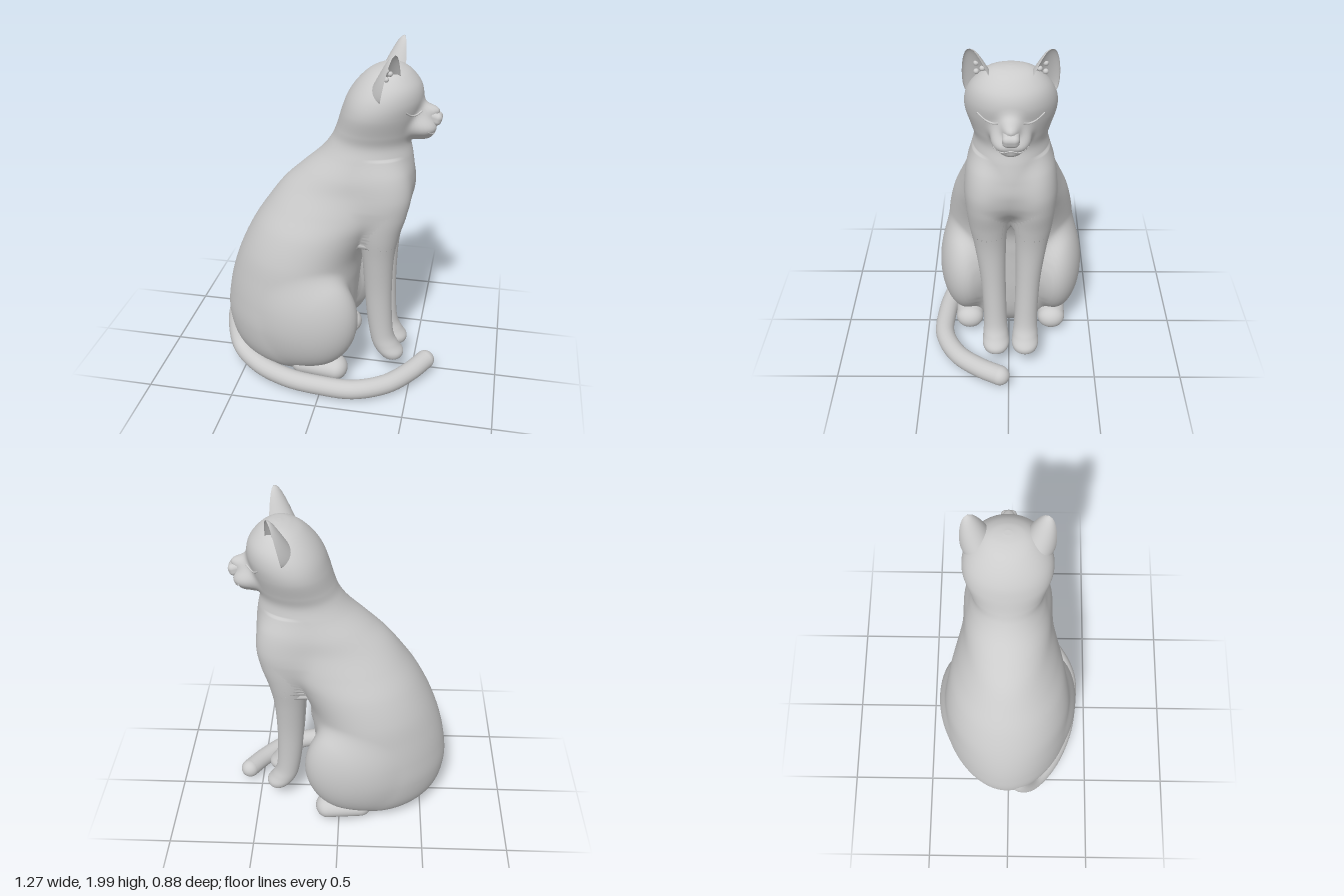
import * as THREE from 'three';
import { RoundedBoxGeometry } from 'three/addons/geometries/RoundedBoxGeometry.js';

const mat = new THREE.MeshStandardMaterial({ color: 0xcccccc, side: THREE.DoubleSide });

// Torso, neck and skull sections: [y, back x, front x, centre z, half width, egg skew]
const TORSO = [
  [0.005, -0.32, -0.1, 0, 0.07, 0],
  [0.025, -0.42, 0.0, 0, 0.18, 0.1],
  [0.1, -0.545, 0.07, 0, 0.29, 0.15],
  [0.2, -0.61, 0.11, 0, 0.35, 0.17],
  [0.35, -0.635, 0.135, 0, 0.38, 0.17],
  [0.5, -0.62, 0.15, 0, 0.383, 0.15],
  [0.65, -0.585, 0.165, 0, 0.373, 0.11],
  [0.8, -0.53, 0.19, 0, 0.36, 0.06],
  [0.95, -0.455, 0.28, 0, 0.33, 0],
  [1.08, -0.37, 0.41, 0, 0.285, -0.06],
  [1.2, -0.28, 0.458, 0, 0.248, -0.02],
  [1.3, -0.175, 0.46, 0, 0.232, 0],
  [1.4, -0.065, 0.447, 0, 0.208, -0.01],
  [1.48, -0.005, 0.433, 0, 0.193, -0.03],
  [1.55, 0.025, 0.448, 0, 0.208, -0.06],
  [1.65, 0.055, 0.475, 0, 0.234, -0.1],
  [1.73, 0.085, 0.49, 0, 0.23, -0.09],
  [1.8, 0.13, 0.474, 0, 0.2, -0.04],
  [1.86, 0.19, 0.425, 0, 0.145, 0],
  [1.89, 0.25, 0.375, 0, 0.09, 0],
  [1.9, 0.3, 0.33, 0, 0.02, 0],
];

// Front leg sections from paw to shoulder, same layout
const LEG = [
  [0.112, 0.36, 0.41, 0.085, 0.03, 0],
  [0.125, 0.325, 0.44, 0.085, 0.062, 0],
  [0.16, 0.29, 0.447, 0.085, 0.077, 0],
  [0.21, 0.262, 0.415, 0.086, 0.073, 0],
  [0.28, 0.245, 0.385, 0.088, 0.067, 0],
  [0.42, 0.225, 0.372, 0.092, 0.067, 0],
  [0.6, 0.21, 0.368, 0.1, 0.072, 0],
  [0.8, 0.195, 0.376, 0.113, 0.087, 0],
  [0.95, 0.175, 0.402, 0.122, 0.105, 0],
  [1.08, 0.15, 0.438, 0.127, 0.114, 0],
  [1.2, 0.14, 0.452, 0.128, 0.114, 0],
  [1.32, 0.16, 0.42, 0.122, 0.095, 0],
  [1.42, 0.21, 0.34, 0.11, 0.05, 0],
];
const SHOULDER_BASE = 0.88;

// Mirrored swellings melted into the torso: centre, radii, blend
const SWELLINGS = [
  { c: [-0.08, 0.445, 0.262], r: [0.277, 0.325, 0.162], k: 0.04 }, // haunch
  { c: [0.497, 1.655, 0], r: [0.082, 0.036, 0.042], k: 0.06 }, // nose bridge
  { c: [0.47, 1.58, 0], r: [0.09, 0.07, 0.1], k: 0.05 }, // muzzle
  { c: [0.505, 1.568, 0.034], r: [0.058, 0.034, 0.048], k: 0.03 }, // whisker pad
  { c: [0.485, 1.527, 0], r: [0.064, 0.03, 0.055], k: 0.025 }, // chin
];

// Smooth interpolation through a list of section rows
function sampleRows(rows, t) {
  const f = t * (rows.length - 1), i = Math.min(Math.floor(f), rows.length - 2), u = f - i;
  const row = k => rows[Math.max(0, Math.min(rows.length - 1, k))];
  return rows[0].map((_, c) => {
    const [a, b, d, e] = [row(i - 1)[c], row(i)[c], row(i + 1)[c], row(i + 2)[c]];
    return b + 0.5 * u * (d - a + u * (2 * a - 5 * b + 4 * d - e + u * (3 * (b - d) + e - a)));
  });
}

// Section at a given height
function rowAt(rows, y) {
  let lo = 0, up = 1;
  for (let i = 0; i < 24; i++) {
    const m = (lo + up) / 2;
    if (sampleRows(rows, m)[0] > y) up = m; else lo = m;
  }
  return sampleRows(rows, lo);
}

// Approximate signed distance to an ellipse or ellipsoid
function roundDistance(v, r) {
  const k0 = Math.hypot(...v.map((q, i) => q / r[i]));
  const k1 = Math.hypot(...v.map((q, i) => q / (r[i] * r[i])));
  return (k0 * (k0 - 1)) / (k1 + 1e-6);
}

function sectionDistance([, x0, x1, zc, w, k], x, z) {
  const a = (x1 - x0) / 2, dx = x - (x0 + x1) / 2;
  const egg = 1 + k * Math.max(-1, Math.min(1, dx / a));
  return roundDistance([dx, (z - zc) / egg], [a, w]);
}

function smoothMin(a, b, k) {
  const h = Math.max(k - Math.abs(a - b), 0) / k;
  return Math.min(a, b) - (h * h * k) / 4;
}

// Signed distance field of the blended body within one torso section
function bodyField(row) {
  const y = row[0];
  const leg = y > SHOULDER_BASE && y < 1.42 ? rowAt(LEG, y) : null;
  const legBlend = 0.002 + 0.07 * Math.min(1, Math.max(0, (y - SHOULDER_BASE) / 0.25));
  return (x, z) => {
    let d = sectionDistance(row, x, z);
    if (leg) d = smoothMin(d, sectionDistance(leg, x, Math.abs(z)), legBlend);
    for (const s of SWELLINGS)
      d = smoothMin(d, roundDistance([x - s.c[0], y - s.c[1], Math.abs(z) - s.c[2]], s.r), s.k);
    return d;
  };
}

// Outermost zero of f between hi and 0
function outermost(f, hi) {
  let s = hi;
  while (s > 0.05 && f(s) > 0) s -= 0.04;
  let lo = s, up = s + 0.04;
  for (let i = 0; i < 12; i++) {
    const m = (lo + up) / 2;
    if (f(m) > 0) up = m; else lo = m;
  }
  return lo;
}

// Point on the face surface at a given height and side
function onFace(y, z) {
  const field = bodyField(rowAt(TORSO, y));
  return [outermost(x => field(x, z), 0.7), y, z];
}

// Closed skin: ring(t) returns a function from angle to point
function skin(ring, levels, sides) {
  const pos = [], idx = [];
  for (let i = 0; i <= levels; i++) {
    const point = ring(i / levels);
    for (let j = 0; j < sides; j++) pos.push(...point((j / sides) * Math.PI * 2));
  }
  for (let i = 0; i < levels; i++)
    for (let j = 0; j < sides; j++) {
      const k = (j + 1) % sides, a = i * sides + j, b = i * sides + k;
      idx.push(a, b, a + sides, b, b + sides, a + sides);
    }
  const last = levels * sides;
  for (let j = 1; j < sides - 1; j++) idx.push(0, j + 1, j, last, last + j, last + j + 1);
  const g = new THREE.BufferGeometry();
  g.setAttribute('position', new THREE.Float32BufferAttribute(pos, 3));
  g.setIndex(idx);
  g.computeVertexNormals();
  return g;
}

function add(parent, name, geo) {
  const m = new THREE.Mesh(geo, mat);
  m.name = name;
  parent.add(m);
  return m;
}

function ball(parent, name, p, r) {
  add(parent, name, new THREE.SphereGeometry(r, 24, 16)).position.set(...p);
}

function tube(parent, name, pts, r, n) {
  const curve = new THREE.CatmullRomCurve3(pts.map(p => new THREE.Vector3(...p)));
  add(parent, name, new THREE.TubeGeometry(curve, n, r, 20));
}

export function createModel() {
  const cat = new THREE.Group();
  cat.name = 'sittingCat';
  const body = new THREE.Group();
  body.name = 'bodyAndLimbs';
  body.position.z = -0.01;
  cat.add(body);

  // Torso, haunches, shoulders, neck and face in one skin
  add(body, 'torsoAndHead', skin(t => {
    const row = sampleRows(TORSO, t), [y, x0, x1, , w] = row;
    const field = bodyField(row), cx = (x0 + x1) / 2;
    return a => {
      const dx = ((x1 - x0) / 2) * Math.cos(a), dz = -w * Math.sin(a);
      const s = outermost(q => field(cx + q * dx, q * dz), 2);
      return [cx + s * dx, y, s * dz];
    };
  }, 240, 120));

  // Nose tip and mouth
  const nose = add(body, 'noseTip', new RoundedBoxGeometry(0.085, 0.068, 0.086, 5, 0.026));
  nose.position.set(0.55, 1.618, 0);
  nose.rotation.z = -0.3;
  tube(body, 'mouthLine', [-0.085, -0.045, 0, 0.045, 0.085].map((z, i) =>
    onFace([1.56, 1.543, 1.552][Math.min(i, 4 - i)], z)), 0.005, 32);

  for (const s of [1, -1]) {
    const sideName = n => (s > 0 ? 'left' : 'right') + n;

    // Closed eyelid
    tube(body, sideName('Eyelid'), [[1.668, 0.06], [1.655, 0.085], [1.66, 0.12], [1.69, 0.165]]
      .map(([y, z]) => onFace(y, s * z)), 0.005, 24);

    // Ear: tapering shell, convex behind and hollow in front
    add(body, sideName('Ear'), skin(t => a => {
      const w = 0.1 * Math.sqrt(1 - t) + 0.002, e = w * Math.cos(a), q = Math.sin(a);
      const d = w * (q > 0 ? (1.35 - 0.5 * t) * q : -0.6 * q);
      return [0.332 + 0.022 * t - 0.45 * e - 0.89 * d, 1.745 + 0.253 * t,
        s * (0.125 + 0.072 * Math.sqrt(t) + 0.89 * e - 0.45 * d)];
    }, 36, 44));
    // Small tufts in the ear hollow
    for (let i = 0; i < 4; i++)
      ball(body, sideName('EarTuft'), [0.325 - (i % 2) * 0.015, 1.84 + i * 0.022,
        s * (0.14 + (i % 2) * 0.03)], 0.014);

    // Front leg with pointed paw, running up into the shoulder
    add(body, sideName('FrontLeg'), skin(t => {
      const [y, x0, x1, z, w] = sampleRows(LEG, t);
      return a => [(x0 + x1) / 2 + ((x1 - x0) / 2) * Math.cos(a), y, s * z - w * Math.sin(a)];
    }, 80, 40));

    // Hind foot
    const foot = add(body, sideName('HindFoot'), new THREE.CapsuleGeometry(0.07, 0.2, 12, 28));
    foot.position.set(-0.03, 0.112, s * 0.25);
    foot.rotation.z = Math.PI / 2 - 0.1;
    foot.scale.z = 1.18;
  }

  // Tail wrapping forward along the ground, with a rounded tip
  const tip = [0.578, 0.092, 0.05];
  tube(cat, 'tail', [[-0.54, 0.42, 0.03], [-0.577, 0.27, 0.07], [-0.535, 0.125, 0.15],
    [-0.4, 0.078, 0.26], [-0.2, 0.066, 0.35], [0, 0.066, 0.385], [0.2, 0.066, 0.385],
    [0.38, 0.07, 0.3], [0.5, 0.08, 0.17], tip], 0.056, 110);
  ball(cat, 'tailTip', tip, 0.056);
  return cat;
}
